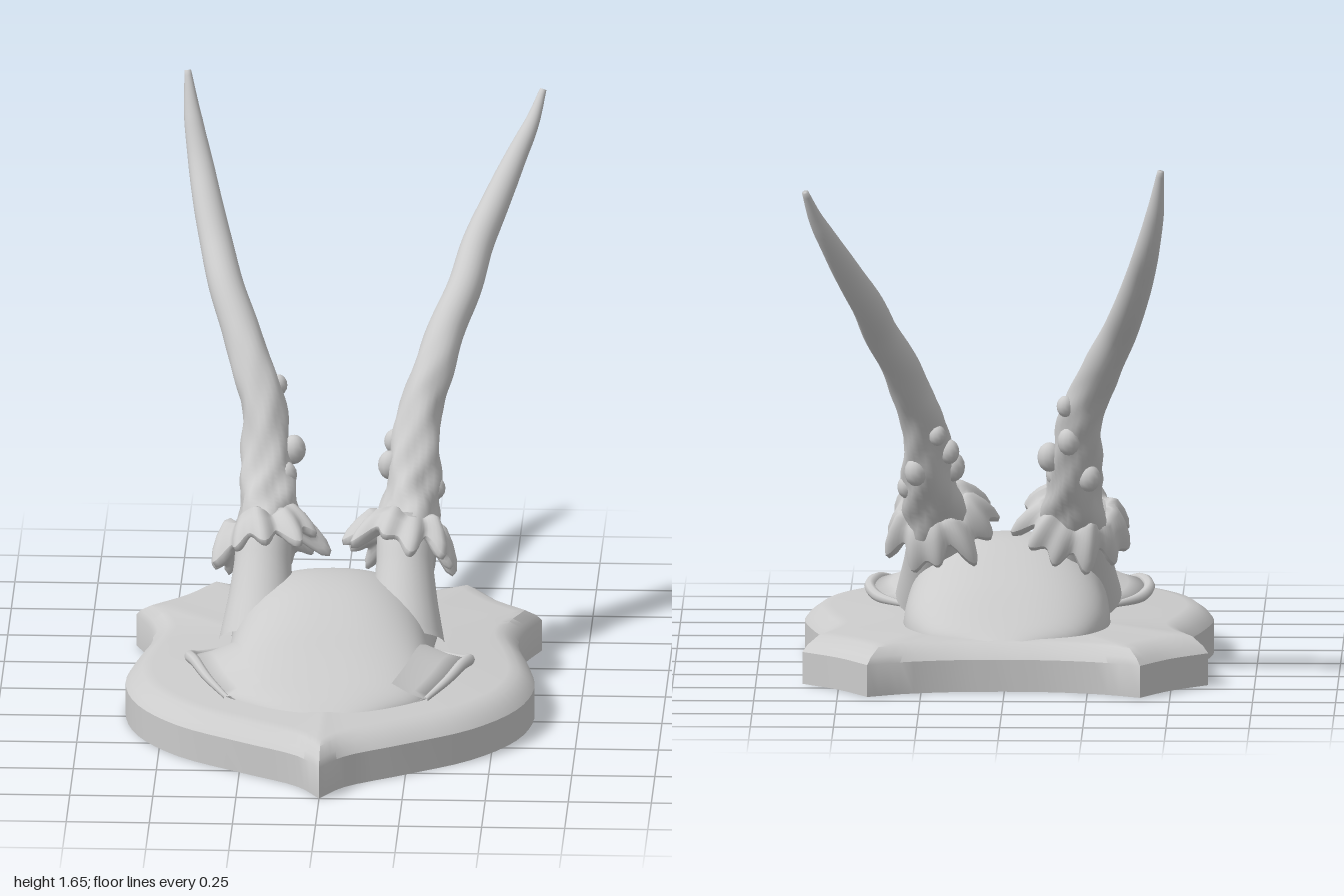
import * as THREE from 'three';
import { toCreasedNormals } from 'three/addons/utils/BufferGeometryUtils.js';

const V = (x, y, z) => new THREE.Vector3(x, y, z);
const grey = new THREE.MeshStandardMaterial({ color: 0xcccccc });
const greyThin = new THREE.MeshStandardMaterial({ color: 0xcccccc, side: THREE.DoubleSide });
const spline = (pts) => new THREE.CatmullRomCurve3(pts.map((p) => V(...p)));

// Skin over a series of rings (each running counter-clockwise about the advance direction).
function loft(rings, closed = true) {
  const n = rings[0].length, pos = [], idx = [];
  rings.forEach((r) => r.forEach((p) => pos.push(p.x, p.y, p.z)));
  for (let i = 0; i < rings.length - 1; i++) {
    for (let j = 0; j < (closed ? n : n - 1); j++) {
      const k = (j + 1) % n, a = i * n + j, b = i * n + k;
      idx.push(a, b, a + n, b, b + n, a + n);
    }
  }
  const g = new THREE.BufferGeometry();
  g.setAttribute('position', new THREE.Float32BufferAttribute(pos, 3));
  g.setIndex(idx);
  g.computeVertexNormals();
  return g;
}

// Round limb along a path; radii are spread evenly along it, bump(t, angle) scales them.
function limb(pts, radii, steps, sides, bump = () => 1) {
  const curve = spline(pts);
  const f = curve.computeFrenetFrames(steps, false);
  const rings = [];
  for (let i = 0; i <= steps; i++) {
    const t = i / steps, c = curve.getPointAt(t), ring = [];
    const u = t * (radii.length - 1), k = Math.min(Math.floor(u), radii.length - 2);
    const r = THREE.MathUtils.lerp(radii[k], radii[k + 1], u - k);
    for (let j = 0; j < sides; j++) {
      const a = (j / sides) * Math.PI * 2, q = r * bump(t, a);
      ring.push(c.clone().addScaledVector(f.normals[i], q * Math.cos(a))
        .addScaledVector(f.binormals[i], q * Math.sin(a)));
    }
    rings.push(ring);
  }
  const end = curve.getPointAt(1);
  rings.push(rings[0].map(() => end.clone()));
  return loft(rings);
}

// Shield-shaped board with a chamfered top edge.
function plaqueGeometry() {
  const parts = [
    [[[0, 0, 1], [0.07, 0, 0.89], [0.24, 0, 0.77], [0.44, 0, 0.62], [0.57, 0, 0.43], [0.615, 0, 0.22],
      [0.59, 0, 0.02], [0.55, 0, -0.18], [0.565, 0, -0.3], [0.61, 0, -0.42]], 36],
    [[[0.61, 0, -0.42], [0.5, 0, -0.53], [0.41, 0, -0.67]], 8],
    [[[0.41, 0, -0.67], [0.3, 0, -0.61], [0.15, 0, -0.57], [0, 0, -0.56]], 10],
  ];
  const half = parts.flatMap(([p, n]) => spline(p).getPoints(n).slice(0, -1));
  const mirrored = half.slice(1).reverse().map((p) => V(-p.x, 0, p.z));
  const outline = [...half, V(0, 0, -0.56), ...mirrored];
  const levels = [[0, 0.008], [1, 0.008], [1, 0.105], [0.975, 0.125], [0.92, 0.15], [0.87, 0.155], [0, 0.155]];
  const rings = levels.map(([s, y]) => outline.map((p) => V(p.x * s, y, 0.1 + (p.z - 0.1) * s)));
  return toCreasedNormals(loft(rings), 0.6);
}

// Skull cap from arched cross-sections: z, half width, top height.
function skullGeometry() {
  const sections = [[-0.5, 0.08, 0.155], [-0.42, 0.22, 0.205], [-0.3, 0.29, 0.28], [-0.2, 0.31, 0.325],
    [-0.1, 0.31, 0.37], [0, 0.305, 0.395], [0.15, 0.31, 0.385], [0.3, 0.32, 0.325], [0.4, 0.32, 0.265],
    [0.5, 0.29, 0.215], [0.58, 0.2, 0.185], [0.63, 0.12, 0.158]];
  const w = spline(sections.map(([z, x, y]) => [x, y, z]));
  const rings = [];
  for (let i = 0; i <= 40; i++) {
    const s = w.getPoint(i / 40), ring = [];
    for (let j = 0; j <= 32; j++) {
      const a = (j / 32) * Math.PI, c = Math.cos(a);
      ring.push(V(s.x * Math.sign(c) * Math.abs(c) ** 0.85, 0.13 + (s.y - 0.13) * Math.max(0, Math.sin(a)) ** 0.8, s.z));
    }
    rings.push(ring);
  }
  return loft(rings);
}

// Ruffled burr: a torus pushed in and out into lobes.
function burrGeometry(phase) {
  const g = new THREE.TorusGeometry(0.115, 0.04, 12, 96);
  const p = g.attributes.position;
  for (let i = 0; i < p.count; i++) {
    const a = Math.atan2(p.getY(i), p.getX(i)), r = Math.hypot(p.getX(i), p.getY(i));
    const lobe = 0.2 * Math.sin(11 * a + phase) + 0.12 * Math.sin(7 * a + 2 * phase);
    const out = r > 0.115 ? 1 + lobe : 1;
    const r2 = 0.115 + (r - 0.115) * out * 1.2 + 0.035 * lobe;
    const z = p.getZ(i) * (1 + lobe) - 1.1 * Math.max(0, r2 - 0.11) + 0.013 * Math.sin(5 * a + phase);
    p.setXYZ(i, r2 * Math.cos(a), r2 * Math.sin(a), z);
  }
  g.computeVertexNormals();
  return g;
}

const SIDES = [
  { name: 'left', s: 1, phase: 0.8,
    path: [[0.215, 0.46, -0.12], [0.23, 0.6, -0.24], [0.25, 0.8, -0.35], [0.285, 0.9, -0.41], [0.32, 1, -0.49],
      [0.37, 1.1, -0.585], [0.405, 1.2, -0.7], [0.455, 1.3, -0.8], [0.51, 1.41, -0.89], [0.56, 1.51, -0.95], [0.59, 1.595, -0.995]],
    knobs: [[0.16, 0.645, -0.26, 0.036], [0.17, 0.7, -0.32, 0.03], [0.27, 0.64, -0.33, 0.035],
      [0.205, 0.76, -0.385, 0.026], [0.3, 0.58, -0.24, 0.028]] },
  { name: 'right', s: -1, phase: 2.6,
    path: [[-0.205, 0.46, -0.12], [-0.207, 0.6, -0.24], [-0.225, 0.8, -0.34], [-0.26, 0.9, -0.4], [-0.3, 1, -0.48],
      [-0.345, 1.1, -0.57], [-0.38, 1.2, -0.68], [-0.41, 1.3, -0.77], [-0.435, 1.4, -0.85], [-0.46, 1.52, -0.91], [-0.478, 1.655, -0.955]],
    knobs: [[-0.13, 0.68, -0.29, 0.036], [-0.15, 0.62, -0.23, 0.032], [-0.18, 0.85, -0.39, 0.026],
      [-0.19, 0.74, -0.37, 0.034], [-0.25, 0.62, -0.31, 0.034]] },
];

export function createModel() {
  const model = new THREE.Group();
  const add = (parent, name, geo, mat = grey) => {
    const m = new THREE.Mesh(geo, mat);
    m.name = name;
    parent.add(m);
    return m;
  };
  add(model, 'plaque', plaqueGeometry());
  add(model, 'skullCap', skullGeometry());

  for (const { name, s, phase, path, knobs } of SIDES) {
    // Eye socket: overhanging shelf with a raised rim
    const socket = new THREE.Group();
    socket.name = name + 'EyeSocket';
    const edge = [[0.3, 0.165, 0.52], [0.36, 0.195, 0.43], [0.4, 0.212, 0.33], [0.42, 0.2, 0.24], [0.395, 0.18, 0.18], [0.31, 0.17, 0.08]];
    const rim = spline(edge.map(([x, y, z]) => [s * x, y, z])).getPoints(24);
    const row = (k, dy) => rim.map((p) => V(p.x * k, dy === null ? 0.15 : p.y + dy, p.z));
    add(socket, 'socketShelf', loft([row(0.66, 0.05), row(0.85, 0.016), row(1, 0), row(0.86, null)], false), greyThin);
    add(socket, 'socketRim', limb(rim.map((p) => p.toArray()), [0.008, 0.014, 0.018, 0.016, 0.008], 30, 8));
    model.add(socket);

    // Antler: pedicle, burr, beam and pearled knobs
    const antler = new THREE.Group();
    antler.name = name + 'Antler';
    add(antler, 'pedicle', limb([[s * 0.22, 0.2, 0.1], [s * 0.215, 0.34, 0], [s * 0.213, 0.44, -0.07], [s * 0.213, 0.5, -0.13]],
      [0.12, 0.1, 0.085, 0.085], 16, 24));
    const burr = add(antler, 'burr', burrGeometry(phase));
    burr.position.set(s * 0.212, 0.485, -0.115);
    burr.quaternion.setFromUnitVectors(V(0, 0, 1), V(s * 0.2, 0.84, -0.5).normalize());
    const rough = (t, a) => 1 + Math.max(0, 1 - t * 2.2)
      * (0.12 * Math.sin(3 * a + 30 * t + phase) + 0.09 * Math.sin(5 * a - 55 * t)) + 0.03 * Math.sin(2 * a + 9 * t);
    add(antler, 'beam', limb(path, [0.1, 0.078, 0.07, 0.063, 0.06, 0.056, 0.052, 0.046, 0.038, 0.027, 0.01], 90, 24, rough));
    for (const [x, y, z, r] of knobs) {
      const knob = add(antler, 'knob', new THREE.SphereGeometry(r, 12, 8));
      knob.position.set(x, y, z);
      knob.scale.set(1, 1.25, 1);
    }
    model.add(antler);
  }
  return model;
}
